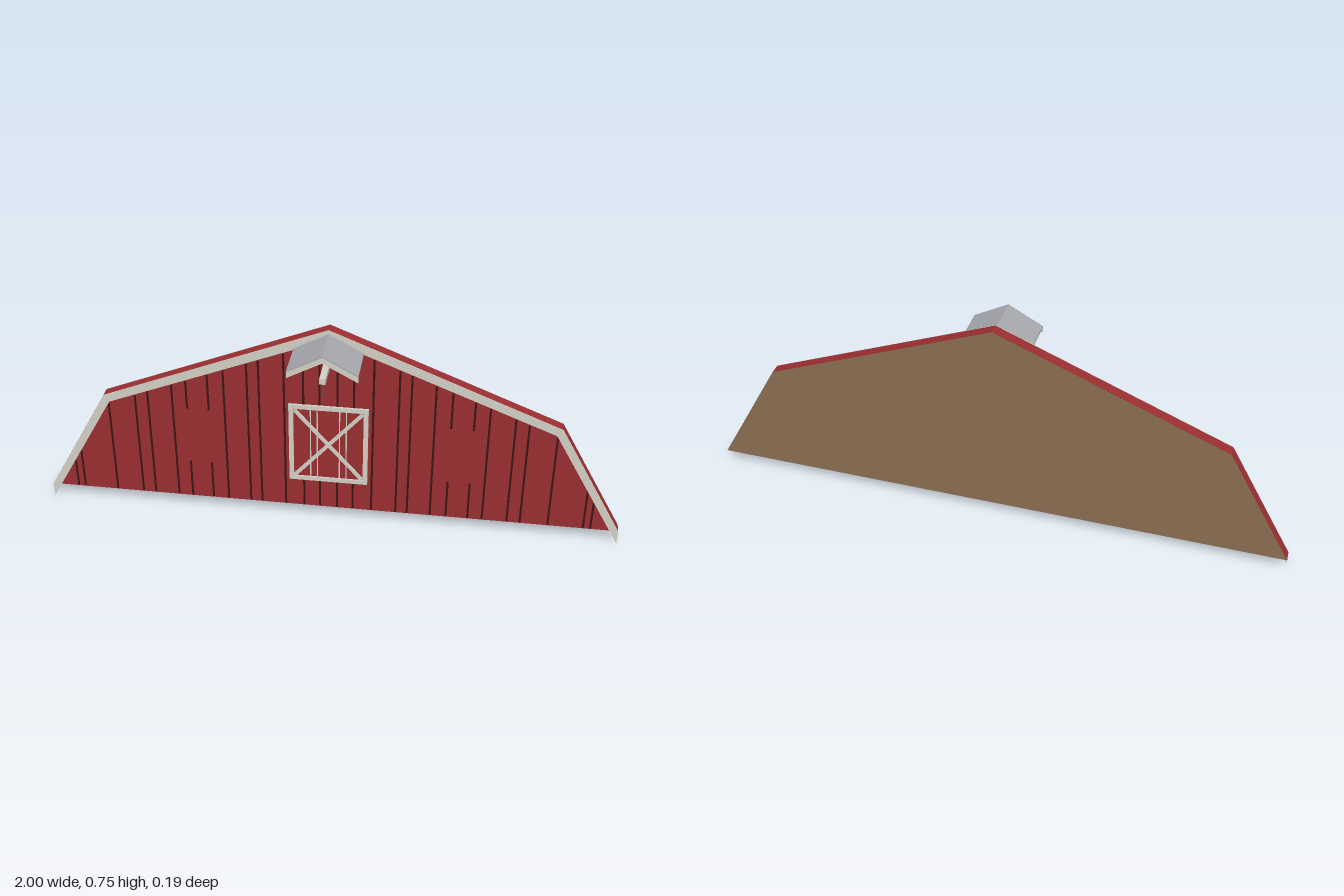
import * as THREE from 'three';

const mat = (name, color, side = THREE.FrontSide) => {
  const m = new THREE.MeshStandardMaterial({ color, side });
  m.name = name;
  return m;
};

export function createModel() {
  const group = new THREE.Group();
  const red = mat('barn red', 0x9a2e31);
  const groove = mat('groove dark red', 0x3c1416);
  const trimWhite = mat('trim off-white', 0xd2cfc5, THREE.DoubleSide);
  const roofGrey = mat('roof grey', 0xa6a8ad);
  const wood = mat('bare wood', 0x8a6e50);
  const iron = mat('hook iron', 0x55565a);

  const add = (name, geo, material, x = 0, y = 0, z = 0, parent = group) => {
    const m = new THREE.Mesh(geo, material);
    m.name = name;
    m.position.set(x, y, z);
    parent.add(m);
    return m;
  };
  const box = (name, w, h, d, material, x, y, z, parent) =>
    add(name, new THREE.BoxGeometry(w, h, d), material, x, y, z, parent);
  const shapeOf = pts => new THREE.Shape(pts.map(p => new THREE.Vector2(...p)));
  // Closes a right-hand outline by mirroring it in x
  const extrude = (pts, depth) =>
    new THREE.ExtrudeGeometry(shapeOf(pts), { depth, bevelEnabled: false });

  const FRONT = -0.055, BACK = -0.093;

  // Gambrel wall slab with a bare wooden back
  const wall = [[-1, 0.052], [1, 0.052], [0.775, 0.445], [0, 0.755], [-0.775, 0.445]];
  add('wall', extrude(wall, FRONT - BACK), red, 0, 0, BACK);
  const backFace = add('wallBack', new THREE.ShapeGeometry(shapeOf(wall)), wood, 0, 0, BACK - 0.001);
  backFace.rotation.y = Math.PI;

  // Rake boards following the roof line, with pointed lower tails
  add('rakeTrim', extrude([
    [1, 0], [1, 0.052], [0.775, 0.445], [0, 0.755], [-0.775, 0.445], [-1, 0.052], [-1, 0],
    [-0.97, 0.052], [-0.757, 0.42], [0, 0.72], [0.757, 0.42], [0.97, 0.052],
  ], 0.002), trimWhite, 0, 0, FRONT);

  // Plank grooves, cut off at the rake boards
  const topAt = x => {
    const a = Math.abs(x);
    return a < 0.757 ? 0.72 - a * 0.3963 : 0.42 - (a - 0.757) * 1.728;
  };
  const strip = (x, y0, y1, w = 0.007) => {
    if (y1 > y0) box('plankGroove', w, y1 - y0, 0.001, groove, x, (y0 + y1) / 2, FRONT + 0.0005);
  };
  for (const s of [-1, 1]) {
    for (const x of [0.88, 0.905, 0.76, 0.665, 0.62, 0.535, 0.275, 0.235, 0.15])
      strip(s * x, 0.054, topAt(x) - 0.003);
    for (const x of [0.485, 0.41]) {
      strip(s * x, 0.054, 0.2);
      strip(s * x, 0.415, topAt(x) - 0.003);
    }
    for (const x of [0.355, 0.085]) {
      strip(s * x, 0.054, x < 0.1 ? 0.165 : topAt(x) - 0.003);
      if (x < 0.1) strip(s * x, 0.468, topAt(x) - 0.003);
    }
    strip(s * 0.03, 0.054, 0.165);
    strip(s * 0.03, 0.468, topAt(0.03) - 0.003);
  }

  // Loft door: panel, frame, batten lines and cross brace
  const door = new THREE.Group();
  door.name = 'loftDoor';
  door.position.set(0, 0.316, FRONT);
  group.add(door);
  const W = 0.27, H = 0.304, T = 0.016;
  box('doorPanel', W - T, H - T, 0.003, red, 0, 0, 0.0015, door);
  for (const s of [-1, 1]) {
    box('doorStile', T, H, 0.008, trimWhite, s * (W - T) / 2, 0, 0.004, door);
    box('doorRail', W - 2 * T, T, 0.008, trimWhite, 0, s * (H - T) / 2, 0.004, door);
    for (const x of [0.038, 0.061])
      box('doorBatten', 0.004, H - 2 * T, 0.001, trimWhite, s * x, 0, 0.0036, door);
    const iw = W - 2 * T, ih = H - 2 * T;
    const brace = box('doorBrace', Math.hypot(iw, ih) - 0.012, 0.012, 0.006, trimWhite,
      0, 0, 0.0065 + s * 0.0005, door);
    brace.rotation.z = s * Math.atan2(ih, iw);
  }

  // Hay hood roof and its front fascia
  const hood = (top, drop, thick, half) => [
    [half, top - drop], [0, top], [-half, top - drop],
    [-half, top - drop - thick], [0, top - thick], [half, top - drop - thick],
  ];
  add('hoodRoof', extrude(hood(0.742, 0.062, 0.006, 0.115), 0.147), roofGrey, 0, 0, -0.054);
  add('hoodFascia', extrude(hood(0.737, 0.062, 0.02, 0.115), 0.002), trimWhite, 0, 0, 0.092);

  // Hoist beam with hanging hook
  box('hoistBeam', 0.02, 0.02, 0.144, trimWhite, 0, 0.648, 0.018);
  const rod = new THREE.CylinderGeometry(0.0016, 0.0016, 0.052, 8);
  add('hookRod', rod, iron, 0, 0.612, 0.07);
  box('hookPlate', 0.01, 0.003, 0.01, iron, 0, 0.6365, 0.07);
  box('hookEnd', 0.007, 0.004, 0.007, iron, 0, 0.586, 0.07);

  return group;
}
